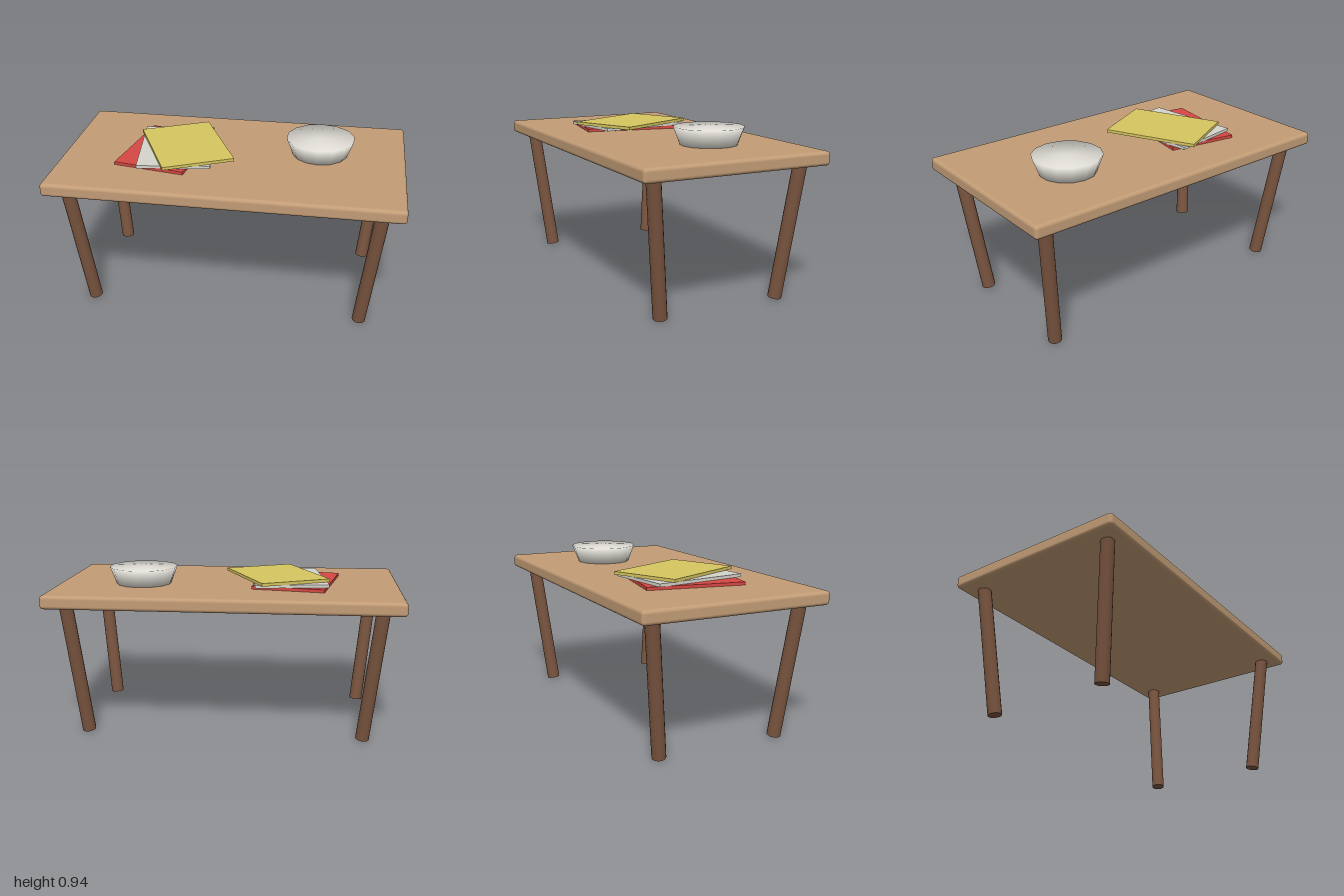
import * as THREE from 'three';
import { RoundedBoxGeometry } from 'three/addons/geometries/RoundedBoxGeometry.js';
import { mergeVertices } from 'three/addons/utils/BufferGeometryUtils.js';

function material(name, color) {
  const m = new THREE.MeshStandardMaterial({ color });
  m.name = name;
  return m;
}

export function createModel() {
  const model = new THREE.Group();
  model.name = 'coffeeTable';

  const lightWood = material('lightWood', 0xc29c76);
  const darkWood = material('darkWood', 0x79543f);
  const ceramic = material('ceramic', 0xdedcd4);
  const covers = [
    material('redCover', 0xd64843),
    material('greyCover', 0xd5d4cc),
    material('yellowCover', 0xd6c55f),
  ];

  function add(name, geometry, mat, parent = model) {
    const mesh = new THREE.Mesh(geometry, mat);
    mesh.name = name;
    parent.add(mesh);
    return mesh;
  }

  // Tabletop with softly rounded edges
  const top = 0.843;
  const thickness = 0.077;
  add('tabletop', new RoundedBoxGeometry(2, thickness, 1.1, 4, 0.02), lightWood)
    .position.y = top - thickness / 2;

  // Four round legs splayed outwards, cut square to their own axis
  const legs = new THREE.Group();
  legs.name = 'legs';
  model.add(legs);
  const up = new THREE.Vector3(0, 1, 0);
  for (const sx of [-1, 1]) {
    for (const sz of [-1, 1]) {
      const foot = new THREE.Vector3(sx * 0.8, 0.006, sz * 0.36);
      const head = new THREE.Vector3(sx * 0.882, 0.785, sz * 0.442);
      const axis = head.clone().sub(foot);
      const name = (sz > 0 ? 'front' : 'back') + (sx > 0 ? 'Left' : 'Right') + 'Leg';
      const leg = add(name, new THREE.CylinderGeometry(0.039, 0.039, axis.length(), 16), darkWood, legs);
      leg.position.copy(foot).add(head).multiplyScalar(0.5);
      leg.quaternion.setFromUnitVectors(up, axis.normalize());
    }
  }

  // Stack of thin books, each turned a little further than the one below
  const books = new THREE.Group();
  books.name = 'bookStack';
  model.add(books);
  const pitch = 0.0176;
  covers.forEach((cover, i) => {
    const book = add('book' + (i + 1), new THREE.BoxGeometry(0.42, pitch, 0.56), cover, books);
    book.position.set(-0.403 + i * 0.06, top + (i + 0.5) * pitch, 0);
    book.rotation.y = -0.17 + i * 0.31;
  });

  // Bowl: flared sides with shading blended softly over the rim
  const bowlHeight = 0.101;
  let bowl = new THREE.CylinderGeometry(0.2, 0.162, bowlHeight, 14);
  bowl.deleteAttribute('normal');
  bowl.deleteAttribute('uv');
  bowl = mergeVertices(bowl, 1e-4);
  bowl.clearGroups();
  bowl.computeVertexNormals();
  add('bowl', bowl, ceramic).position.set(0.5, top + bowlHeight / 2, -0.1);

  return model;
}
